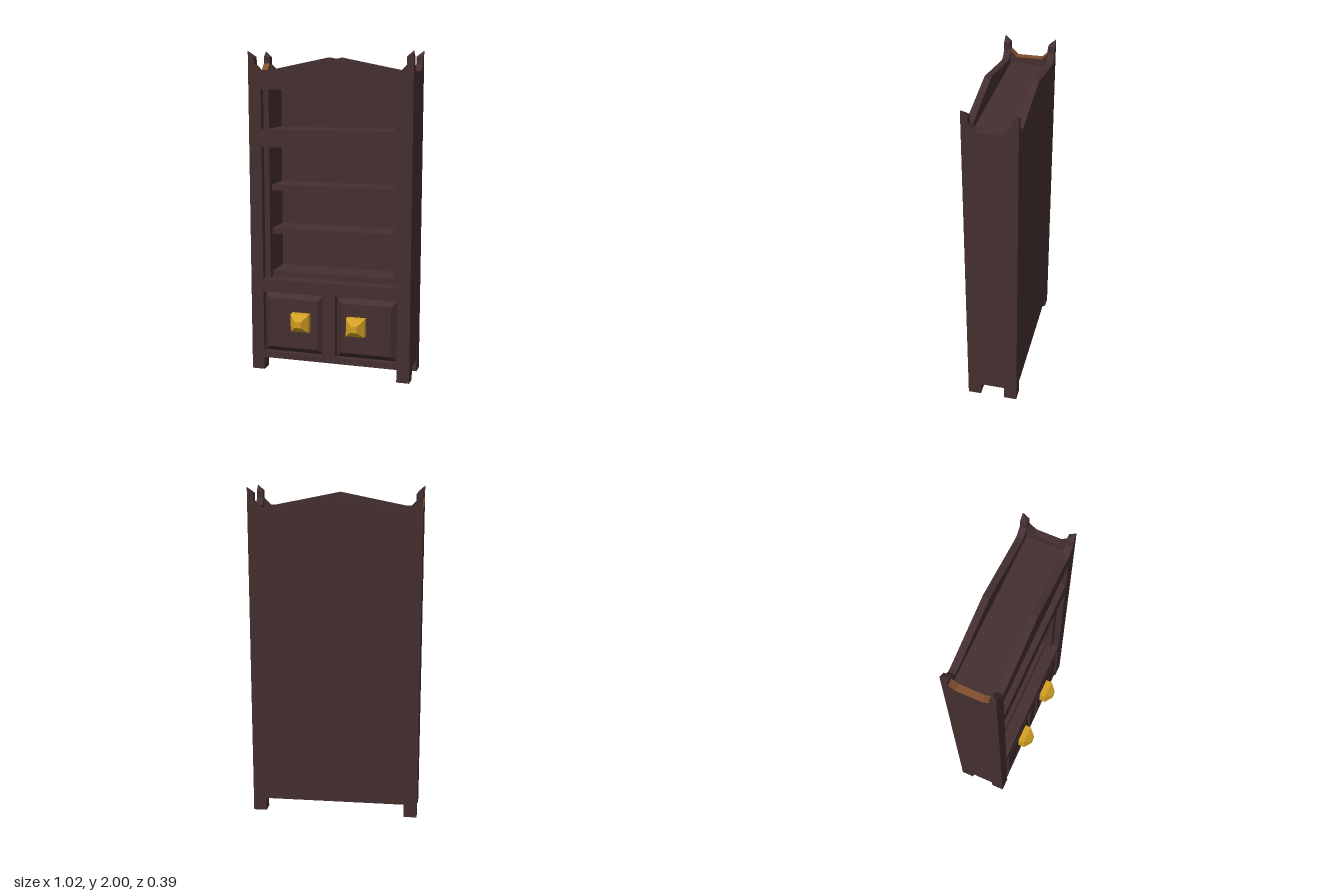
import * as THREE from 'three';

export function createModel() {
  const wood = new THREE.MeshStandardMaterial({ color: 0x452f30 });
  wood.name = 'darkWood';
  const trim = new THREE.MeshStandardMaterial({ color: 0x84502f });
  trim.name = 'brownTrim';
  const gold = new THREE.MeshStandardMaterial({ color: 0xd4a024 });
  gold.name = 'gold';

  const W = 0.51, D = 0.155, T = 0.04; // half width, half depth, wall thickness
  const model = new THREE.Group();
  model.name = 'bookcase';
  const body = new THREE.Group();
  body.name = 'cabinetBody';
  body.position.z = -0.04;
  model.add(body);

  const add = (name, geo, mat = wood, parent = body) => {
    const mesh = new THREE.Mesh(geo, mat);
    mesh.name = name;
    parent.add(mesh);
    return mesh;
  };
  const box = (name, x0, x1, y0, y1, z0, z1, mat = wood) => {
    const g = new THREE.BoxGeometry(x1 - x0, y1 - y0, z1 - z0);
    g.translate((x0 + x1) / 2, (y0 + y1) / 2, (z0 + z1) / 2);
    return add(name, g, mat);
  };
  const shapeOf = (pts) => new THREE.Shape(pts.map(([x, y]) => new THREE.Vector2(x, y)));
  const rect = (x0, x1, y0, y1) => shapeOf([[x0, y0], [x0, y1], [x1, y1], [x1, y0]]);

  // Four-sided bevelled block with its narrow end facing +z
  const frustum = (w, h, ratio, depth) => {
    const r = Math.SQRT1_2;
    let g = new THREE.CylinderGeometry(r * ratio, r, 1, 4);
    g.rotateY(Math.PI / 4);
    g.rotateX(Math.PI / 2);
    g.scale(w, h, depth);
    g = g.toNonIndexed();
    g.computeVertexNormals();
    return g;
  };

  // Wall with pointed corner horns; the inner face is mitred at both ends
  const panel = (hw, peak, holes = []) => {
    const half = [[hw, 0.08], [hw, 2], [hw - 0.04, 1.965], [hw - 0.04, 1.92], [hw - 0.08, 1.88]];
    if (peak) half.push([hw - 0.11, 1.88]);
    const mirrored = half.map(([x, y]) => [-x, y]).reverse();
    const shape = shapeOf([...half, ...(peak ? [[0, peak]] : []), ...mirrored]);
    shape.holes.push(...holes);
    const g = new THREE.ExtrudeGeometry(shape, { depth: T, bevelEnabled: false });
    const p = g.attributes.position;
    for (let i = 0; i < p.count; i++) {
      if (p.getZ(i) > T / 2) continue;
      p.setX(i, THREE.MathUtils.clamp(p.getX(i), T - hw, hw - T));
      if (p.getY(i) > 1.965) p.setY(i, Math.abs(p.getX(i)) > hw - 0.05 ? 1.965 : p.getY(i));
    }
    g.computeVertexNormals();
    return g;
  };

  // Outer walls
  const holes = [
    rect(-0.43, 0.43, 1.53, 1.77), rect(-0.43, 0.43, 0.59, 1.42),
    rect(-0.43, -0.04, 0.12, 0.51), rect(0.04, 0.43, 0.12, 0.51),
  ];
  add('frontFrame', panel(W, 1.96, holes)).position.z = D - T;
  const back = add('backPanel', panel(W, 1.96));
  back.rotation.y = Math.PI;
  back.position.z = T - D;
  for (const [s, name] of [[1, 'leftSide'], [-1, 'rightSide']]) {
    const side = add(name, panel(D, 0));
    side.rotation.y = s * Math.PI / 2;
    side.position.x = s * (W - T);
  }

  // Thin brown strip along the top of the right side
  const u = [[0.115, 1.92], [0.075, 1.88], [-0.075, 1.88], [-0.115, 1.92]];
  const strip = shapeOf([...u, ...u.map(([z, y]) => [z, y + 0.004]).reverse()]);
  const stripGeo = new THREE.ExtrudeGeometry(strip, { depth: T, bevelEnabled: false });
  stripGeo.rotateY(-Math.PI / 2);
  add('rightSideTrim', stripGeo, trim).position.x = T - W;

  // Inner carcass
  const zi = D - T, xi = 0.395;
  box('lowerCase', -0.47, 0.47, 0.08, 0.59, -zi, zi);
  box('middleDivider', -xi, xi, 1.42, 1.53, -zi, zi);
  box('topBoard', -0.47, 0.47, 1.77, 1.84, -zi, zi);
  box('leftInnerWall', xi, 0.47, 0.59, 1.77, -zi, zi);
  box('rightInnerWall', -0.47, -xi, 0.59, 1.77, -zi, zi);
  for (const y of [0.63, 0.905, 1.18]) box('shelf', -xi, xi, y - 0.037, y, -zi, 0.075);

  // Legs, doors and knobs
  for (const s of [-1, 1]) {
    for (const t of [-1, 1]) {
      const leg = add('leg', new THREE.BoxGeometry(0.08, 0.08, 0.08));
      leg.position.set(s * (W - 0.04), 0.04, t * (D - 0.04));
    }
    add('doorPanel', frustum(0.39, 0.39, 0.81, T)).position.set(s * 0.235, 0.315, D - T / 2);
    const knob = new THREE.Group();
    knob.name = 'doorKnob';
    knob.position.set(s * 0.178, 0.335, D);
    add('knobBase', new THREE.BoxGeometry(0.117, 0.113, 0.04), gold, knob).position.z = 0.02;
    add('knobTip', frustum(0.117, 0.113, 0.35, 0.04), gold, knob).position.z = 0.06;
    body.add(knob);
  }
  return model;
}
